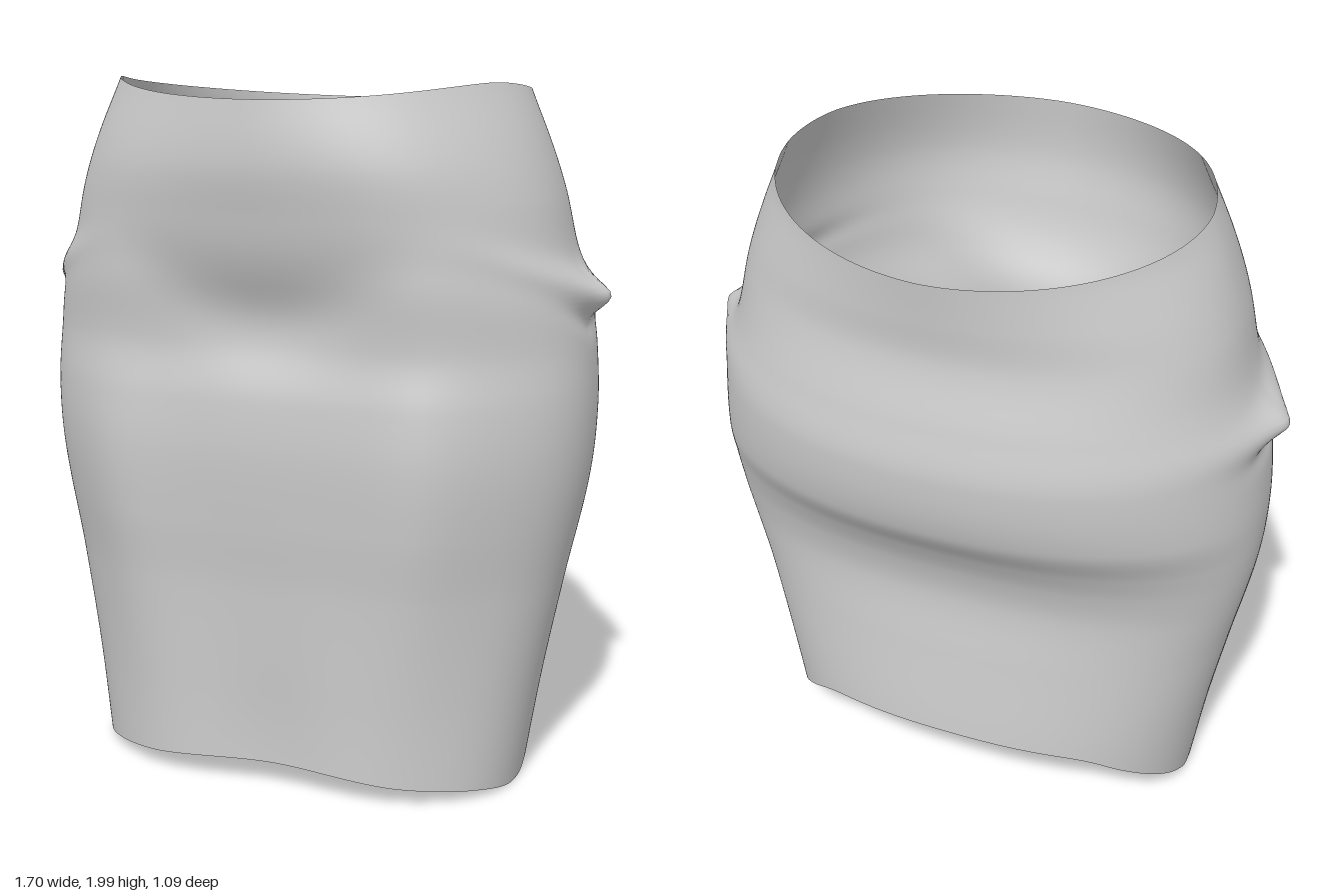
import * as THREE from 'three';

// Smooth 1D interpolation through [position, value] knots
function smooth(knots) {
  const slope = (i) => {
    const a = knots[Math.max(i - 1, 0)], b = knots[Math.min(i + 1, knots.length - 1)];
    return (b[1] - a[1]) / (b[0] - a[0]);
  };
  return (p) => {
    let i = 0;
    while (i < knots.length - 2 && p > knots[i + 1][0]) i++;
    const [p0, v0] = knots[i], [p1, v1] = knots[i + 1];
    const h = p1 - p0, t = Math.min(Math.max((p - p0) / h, 0), 1), t2 = t * t, t3 = t2 * t;
    return v0 * (2 * t3 - 3 * t2 + 1) + v1 * (3 * t2 - 2 * t3)
      + h * (slope(i) * (t3 - 2 * t2 + t) + slope(i + 1) * (t3 - t2));
  };
}
const bell = (d, width) => Math.exp(-((d / width) ** 2));

// Body profiles by height
const halfWidth = smooth([[0, 0.64], [0.3, 0.685], [0.6, 0.74], [0.9, 0.798], [1.1, 0.812],
  [1.3, 0.8], [1.42, 0.782], [1.55, 0.737], [1.7, 0.702], [1.85, 0.652], [2, 0.59]]);
const frontDepth = smooth([[0, 0.45], [0.3, 0.44], [0.6, 0.44], [0.8, 0.456], [1, 0.468],
  [1.15, 0.463], [1.3, 0.45], [1.5, 0.492], [1.65, 0.52], [1.8, 0.545], [2, 0.535]]);
const backDepth = smooth([[0, 0.4], [0.3, 0.388], [0.6, 0.36], [0.8, 0.345], [0.92, 0.37], [1.02, 0.42],
  [1.15, 0.505], [1.35, 0.54], [1.5, 0.518], [1.68, 0.478], [1.8, 0.485], [2, 0.508]]);
const sideCentre = smooth([[0, 0.06], [0.5, 0.03], [1, 0], [2, 0]]);
// Squareness of the section (2 is an ellipse)
const frontSquare = smooth([[0, 2.4], [0.6, 2.35], [1.2, 2.35], [1.6, 2.2], [2, 1.82]]);
const backSquare = smooth([[0, 2.2], [0.6, 2.35], [0.85, 2.5], [1.15, 2.2], [1.4, 2.15], [1.68, 2.15], [1.92, 1.85], [2, 1.85]]);

// Edge heights, from back (-1) through the sides (0) to front (1)
const hem = smooth([[-1, 0.305], [-0.83, 0.275], [-0.67, 0.215], [-0.45, 0.14], [-0.17, 0.055],
  [0, 0.008], [0.5, 0.036], [0.85, 0.062], [1, 0.083]]);
const waist = smooth([[-1, 1.92], [-0.5, 1.955], [0, 1.985], [0.4, 2], [1, 1.965]]);

function skirtPoint(angle, t) {
  const c = Math.cos(angle), s = Math.sin(angle);
  const y = THREE.MathUtils.lerp(hem(s), waist(s), t);
  const front = s >= 0;
  const power = 2 / (front ? frontSquare(y) : backSquare(y));
  const mid = sideCentre(y);
  const side = Math.sign(c);
  const width = halfWidth(y);
  let x = side * width * Math.abs(c) ** power;
  let z = front ? mid + (frontDepth(y) - mid) * s ** power
    : mid - (backDepth(y) + mid) * (-s) ** power;

  if (front) {
    // Fuller front of each thigh, with a shallow channel between them at the hem
    z += s * 0.05 * bell(Math.abs(x) / width - 0.59, 0.22) * bell(y - 0.85, 0.6);
    z -= s * 0.04 * bell(x, 0.2) * bell(y, 0.4);
    // Hollow across the middle of the front, curving up towards the hips
    z -= s * 0.036 * bell(x, 0.3) * bell(y - 1.39 - 0.9 * x * x, 0.13);
  }

  // Gathered pinch at each hip, with a fold running up towards the front
  const near = Math.abs(c) ** 0.5;
  const tip = side > 0 ? 1.43 : 1.41;
  const line = y - tip - 0.4 * Math.max(z - 0.02, 0);
  x += side * near * (0.068 * bell(line, 0.05) * Math.exp(-Math.hypot(z, 0.015) / 0.1 + 0.15)
    - 0.014 * bell(line + 0.08, 0.035) * bell(z - 0.02, 0.12));
  if (front) z += 0.012 * near * bell(line, 0.045) * bell(z - 0.22, 0.12);
  return [x, y, z];
}

export function createModel() {
  const around = 240, rows = 130;
  const positions = [], index = [];
  for (let j = 0; j <= rows; j++) {
    for (let i = 0; i < around; i++) {
      positions.push(...skirtPoint((i / around) * Math.PI * 2, j / rows));
      if (j === rows) continue;
      const a = j * around + i, b = j * around + (i + 1) % around;
      index.push(a, a + around, b, b, a + around, b + around);
    }
  }
  const geometry = new THREE.BufferGeometry();
  geometry.setAttribute('position', new THREE.Float32BufferAttribute(positions, 3));
  geometry.setIndex(index);
  geometry.computeVertexNormals();

  // Thin open shell of cloth
  const cloth = new THREE.MeshStandardMaterial({ color: 0xcccccc, side: THREE.DoubleSide });
  const skirt = new THREE.Mesh(geometry, cloth);
  skirt.name = 'skirt';
  const model = new THREE.Group();
  model.name = 'pencilSkirt';
  model.add(skirt);
  return model;
}
